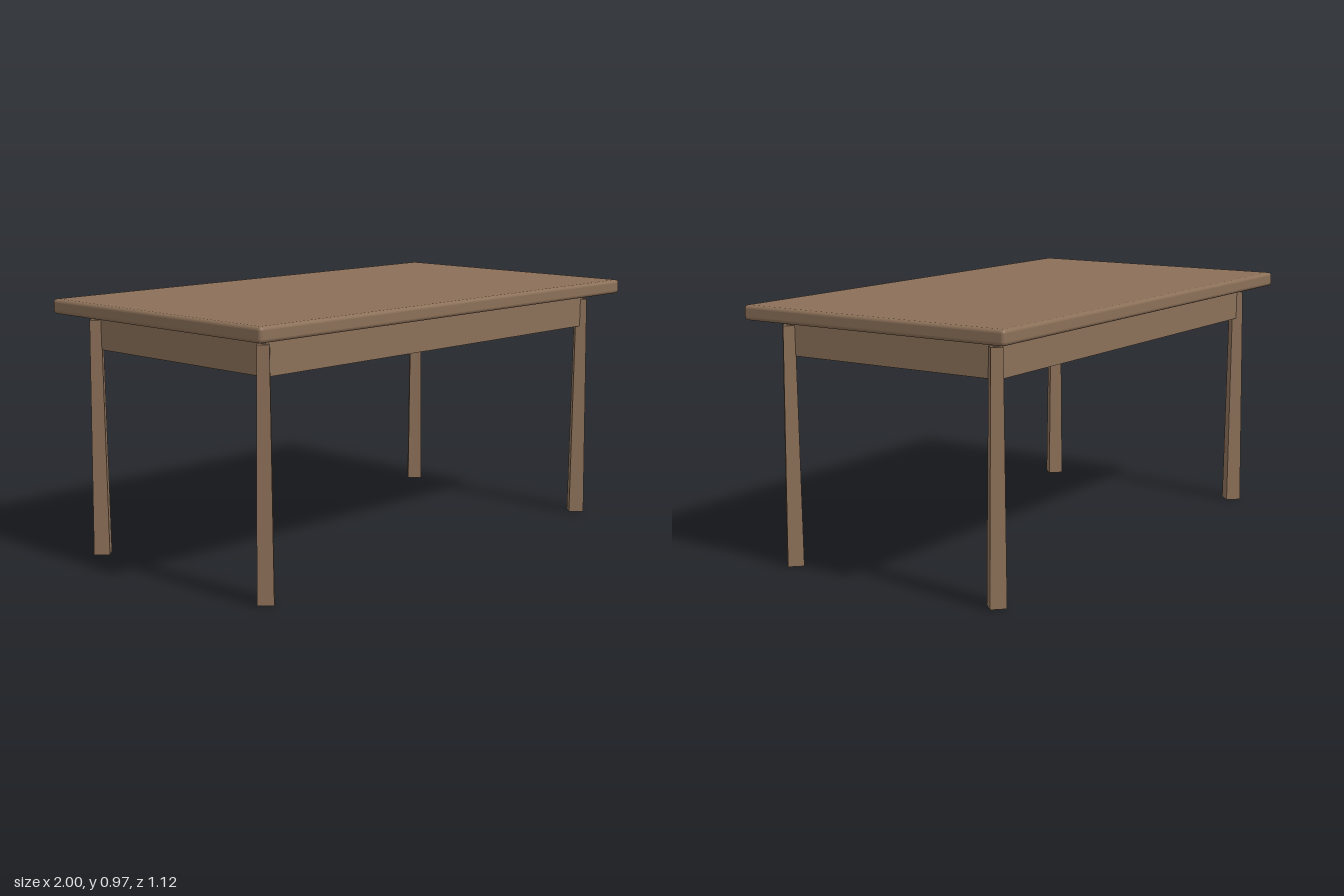
import * as THREE from 'three';
import { RoundedBoxGeometry } from 'three/addons/geometries/RoundedBoxGeometry.js';

export function createModel() {
  const model = new THREE.Group();
  model.name = 'table';

  const wood = new THREE.MeshStandardMaterial({ color: 0x8b7058 });
  wood.name = 'brown wood';

  const add = (name, geometry, x, y, z) => {
    const mesh = new THREE.Mesh(geometry, wood);
    mesh.name = name;
    mesh.position.set(x, y, z);
    model.add(mesh);
  };

  // Tabletop slab with softened edges, floating just above the apron
  add('tabletop', new RoundedBoxGeometry(2, 0.055, 1.12, 3, 0.014), 0, 0.9395, 0);

  // Solid apron block under the top
  add('apron', new THREE.BoxGeometry(1.774, 0.12, 0.924), 0, 0.84, 0);

  // Four-sided legs, set diamond-wise and widening toward the floor
  const legHeight = 0.89;
  const legGeometry = new THREE.CylinderGeometry(0.03, 0.042, legHeight, 4).toNonIndexed();
  legGeometry.computeVertexNormals();
  for (const [side, x] of [['Left', 0.886], ['Right', -0.886]]) {
    for (const [end, z] of [['front', 0.45], ['back', -0.45]]) {
      add(`${end}${side}Leg`, legGeometry, x, legHeight / 2, z);
    }
  }

  return model;
}
